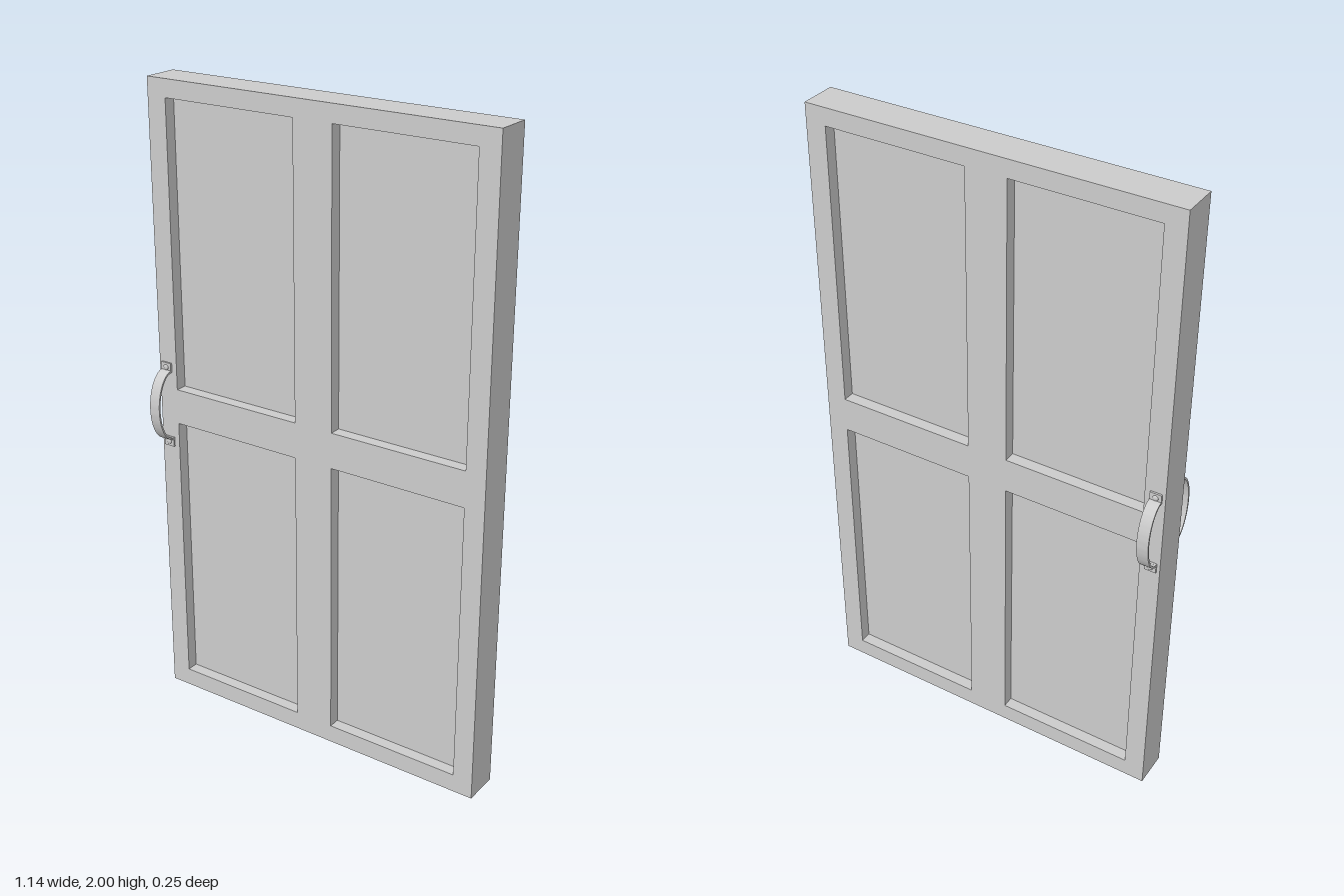
import * as THREE from 'three';
import { toCreasedNormals } from 'three/addons/utils/BufferGeometryUtils.js';

const material = new THREE.MeshStandardMaterial({ color: 0xcccccc });
const W = 1.14, H = 2, T = 0.114;

function part(name, geometry, x = 0, y = 0, z = 0) {
  const mesh = new THREE.Mesh(geometry, material);
  mesh.name = name;
  mesh.position.set(x, y, z);
  return mesh;
}

function rect(path, x0, y0, x1, y1) {
  return path.moveTo(x0, y0).lineTo(x1, y0).lineTo(x1, y1).lineTo(x0, y1).closePath();
}

// Bowed strap handle with flat feet and screws, facing +z from the door face
function makeHandle(name) {
  const g = new THREE.Group();
  g.name = name;
  const width = 0.036, t = 0.006, face = T / 2, ry = 0.115, rz = 0.067;

  // Side profile (z, y): outer bow, then inner bow back
  const s = new THREE.Shape();
  s.absellipse(face, 0, rz, ry, -Math.PI / 2, Math.PI / 2, false, 0);
  s.absellipse(face, 0, rz - t, ry - t, Math.PI / 2, -Math.PI / 2, true, 0);
  s.closePath();
  const bow = new THREE.ExtrudeGeometry(s, { depth: width, bevelEnabled: false, curveSegments: 24 });
  bow.translate(0, 0, -width / 2).rotateY(-Math.PI / 2);
  g.add(part('handleBow', toCreasedNormals(bow, 0.6)));

  for (const side of [-1, 1]) {
    const y = side * 0.123;
    g.add(part('handleFoot', new THREE.BoxGeometry(width, 0.03, t), 0, y, face + t / 2));
    const screw = new THREE.SphereGeometry(0.009, 16, 6, 0, Math.PI * 2, 0, Math.PI / 2);
    screw.scale(1, 0.5, 1).rotateX(Math.PI / 2);
    g.add(part('handleScrew', screw, 0, y, face + t));
  }
  return g;
}

export function createModel() {
  const door = new THREE.Group();
  door.name = 'door';

  // Frame with four openings, each filled by a thinner recessed panel
  const outline = rect(new THREE.Shape(), -W / 2, 0, W / 2, H);
  const pw = 0.442, ph = 0.888, panels = [];
  for (const x of [-0.285, 0.285]) {
    for (const y of [0.502, 1.502]) {
      outline.holes.push(rect(new THREE.Path(), x - pw / 2, y - ph / 2, x + pw / 2, y + ph / 2));
      panels.push(part('recessedPanel', new THREE.BoxGeometry(pw, ph, 0.04), x, y, 0));
    }
  }
  const frame = new THREE.ExtrudeGeometry(outline, { depth: T, bevelEnabled: false });
  frame.translate(0, 0, -T / 2);
  door.add(part('doorFrame', frame), ...panels);

  // One handle on each face
  const front = makeHandle('frontHandle');
  const back = makeHandle('backHandle');
  back.rotation.y = Math.PI;
  for (const h of [front, back]) {
    h.position.set(-0.542, 1.003, 0);
    door.add(h);
  }
  return door;
}
